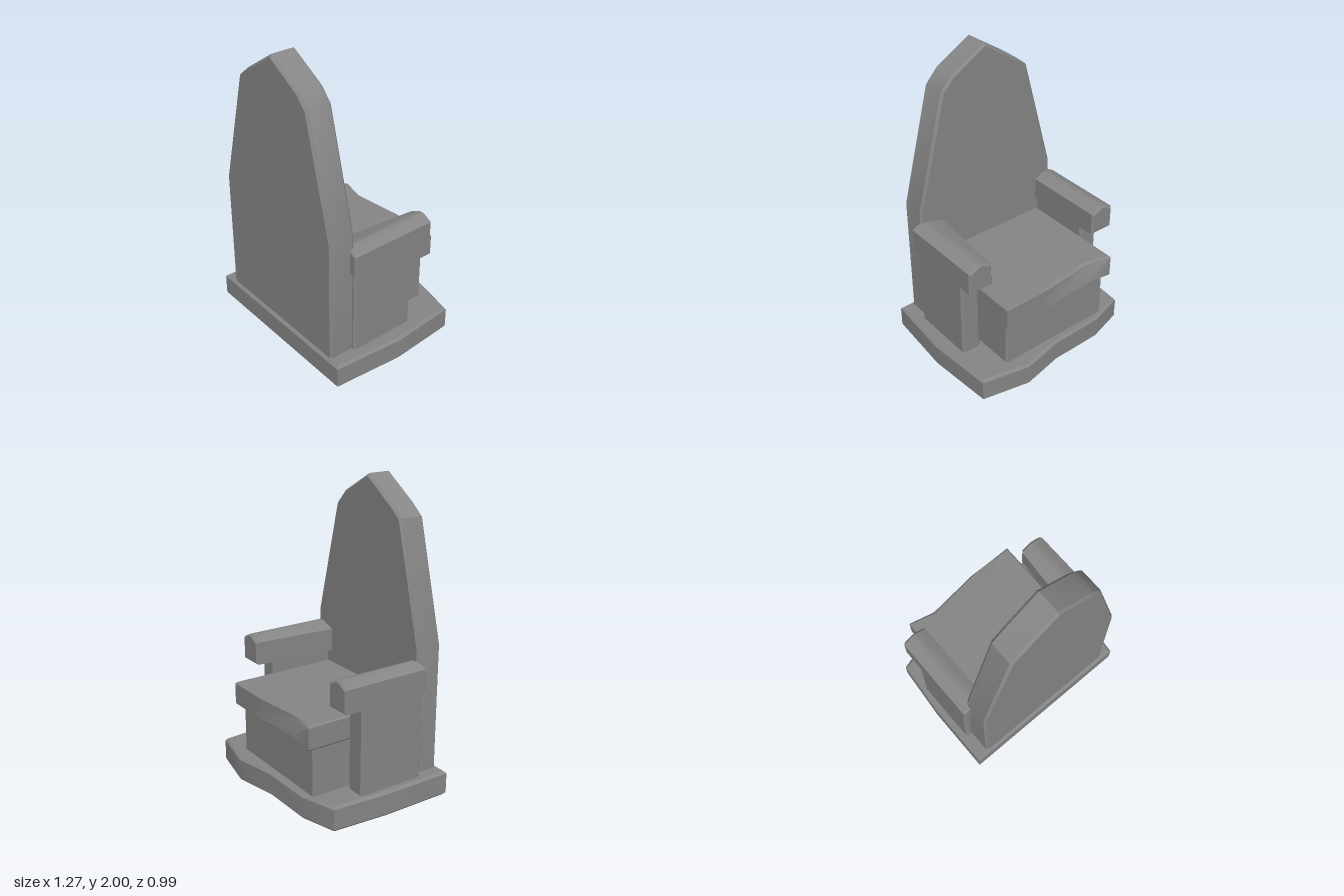
import * as THREE from 'three';
import { toCreasedNormals } from 'three/addons/utils/BufferGeometryUtils.js';

const material = new THREE.MeshStandardMaterial({ color: 0x868686 });

// Outline extruded along +z, with a chamfer kept inside the outline
function slab(points, depth, chamfer) {
  const shape = new THREE.Shape(points.map(([x, y]) => new THREE.Vector2(x, y)));
  const geo = new THREE.ExtrudeGeometry(shape, {
    depth: depth - 2 * chamfer, bevelEnabled: chamfer > 0, bevelThickness: chamfer,
    bevelSize: chamfer, bevelOffset: -chamfer, bevelSegments: 1,
  });
  return geo.translate(0, 0, chamfer);
}

// Floor plan given as [x, z], raised from y0 to y1
function raised(plan, y0, y1, chamfer) {
  const geo = slab(plan.map(([x, z]) => [x, -z]), y1 - y0, chamfer);
  return geo.rotateX(-Math.PI / 2).translate(0, y0, 0);
}

// Rectangle plan with cut corners
function cutRect(x0, x1, z0, z1, c) {
  return [[x0 + c, z1], [x1 - c, z1], [x1, z1 - c], [x1, z0 + c],
    [x1 - c, z0], [x0 + c, z0], [x0, z0 + c], [x0, z1 - c]];
}

// Seat slab: gridded box with chamfered rims and chips on the front edge
function seatGeometry() {
  const xs = [-0.45, -0.44, -0.27, 0.09, 0.19, 0.40, 0.41];
  const ys = [0.49, 0.50, 0.64, 0.65];
  const zs = [-0.44, -0.43, -0.30, 0.31];
  const geo = new THREE.BoxGeometry(1, 1, 1, xs.length - 1, ys.length - 1, zs.length - 1);
  const p = geo.attributes.position;
  const index = (v, list) => Math.round((v + 0.5) * (list.length - 1));
  for (let n = 0; n < p.count; n++) {
    const i = index(p.getX(n), xs), j = index(p.getY(n), ys), k = index(p.getZ(n), zs);
    let x = xs[i], y = ys[j], z = zs[k];
    if (j === 0 || j === 3) {
      if (i === 0) x = xs[1];
      if (i === 6) x = xs[5];
      if (k === 0) z = zs[1];
    }
    if (i === 2 && k <= 1) {
      if (j >= 2) z = j === 3 ? -0.385 + k * 0.005 : -0.40; // broken upper edge
      if (j === 0) z = -0.395 + k * 0.005; // broken lower edge
      if (j === 1) y += 0.025;
    }
    if (i === 4 && j === 3 && k <= 1) y -= 0.01; // shallow dip
    p.setXYZ(n, x, y, z);
  }
  return geo;
}

// Armrest with a low gabled top; the inner face may flare towards the back
function armrestGeometry(x0, x1, flare) {
  const mid = (x0 + x1) / 2;
  const geo = slab([[x0, 0.735], [x1, 0.735], [x1, 0.89], [mid + 0.015, 0.925],
    [mid - 0.015, 0.925], [x0, 0.89]], 0.61, 0.012).translate(0, 0, -0.28);
  const p = geo.attributes.position;
  for (let n = 0; n < p.count; n++) {
    if (p.getX(n) < x0 + 0.02 && p.getZ(n) > 0) p.setX(n, p.getX(n) - flare);
  }
  return geo;
}

export function createModel() {
  const group = new THREE.Group();
  const add = (name, geometry) => {
    const mesh = new THREE.Mesh(toCreasedNormals(geometry, 0.6), material);
    mesh.name = name;
    group.add(mesh);
  };

  // Uneven stone base
  add('base', raised([[-0.635, 0.494], [0.597, 0.494], [0.633, 0.02], [0.597, -0.43],
    [0.28, -0.497], [0, -0.44], [-0.36, -0.435], [-0.605, -0.365], [-0.635, 0.02]], 0, 0.168, 0.016));

  // Tall pointed backrest
  add('backrest', slab([[-0.548, 0.15], [0.51, 0.15], [0.51, 1.0], [0.308, 1.77], [0.225, 1.86],
    [-0.02, 2.0], [-0.26, 1.84], [-0.345, 1.77], [-0.548, 1.0]], 0.18, 0.015).translate(0, 0, 0.295));

  // Seat and its block
  add('seatBlock', raised(cutRect(-0.43, 0.38, -0.393, 0.31, 0.01), 0.16, 0.5, 0));
  add('seat', seatGeometry());

  // Arm walls and armrests
  add('rightArmWall', raised(cutRect(-0.59, -0.45, -0.15, 0.31, 0.015), 0.16, 0.74, 0));
  add('leftArmWall', raised(cutRect(0.40, 0.537, -0.15, 0.31, 0.015), 0.16, 0.74, 0));
  add('rightArmrest', armrestGeometry(-0.598, -0.428, 0));
  add('leftArmrest', armrestGeometry(0.395, 0.565, 0.045));

  return group;
}
